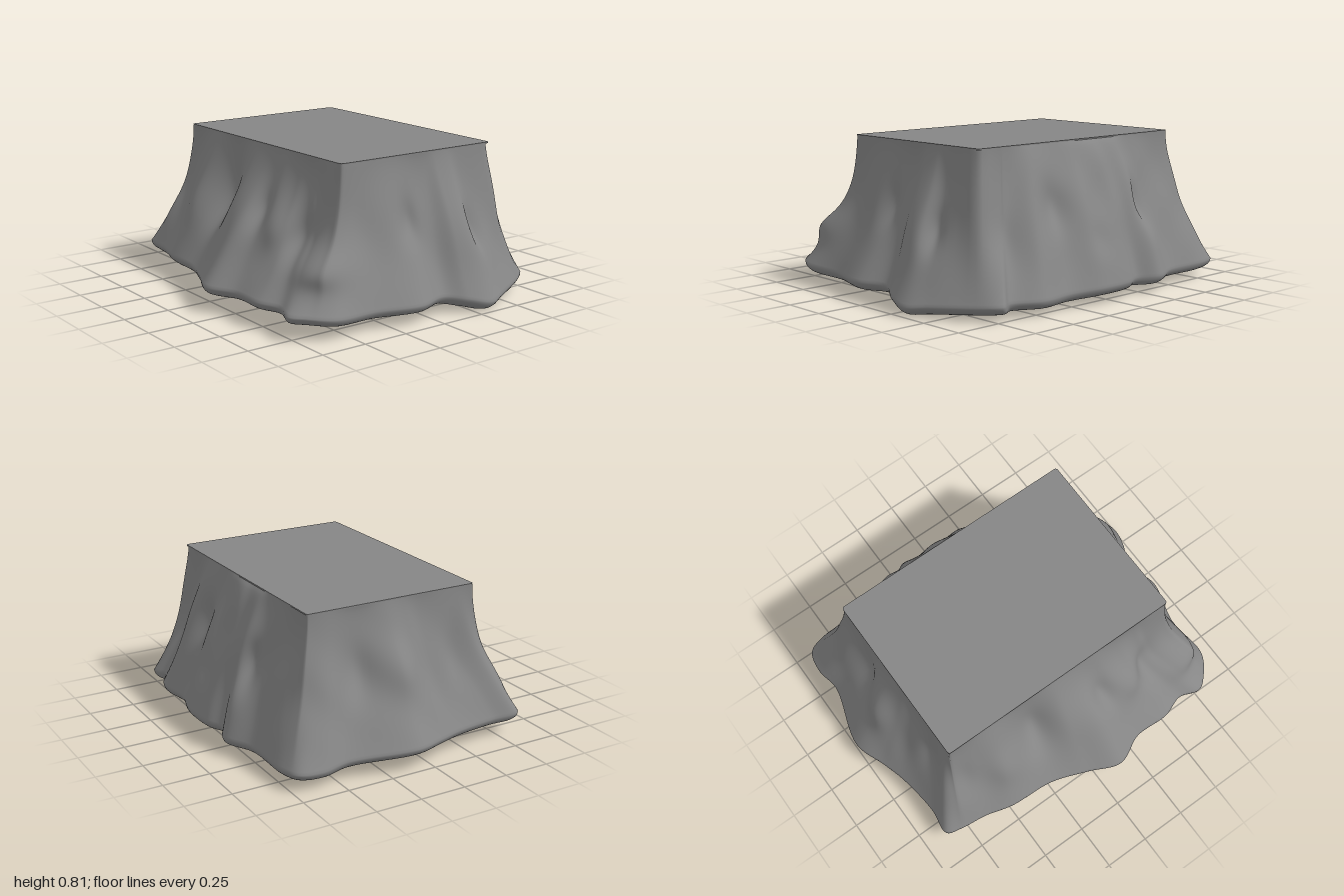
import * as THREE from 'three';

const HEIGHT = 0.81;
const TOP = { x: 0.069, hx: 0.487, hz: 0.697 };
const LIP = 0.05;

// Foot of the rock, clockwise from above: x, y, z, flare (above 1 the wall is steep first and spreads low down)
const FOOT = [
  [-0.6, 0.07, -0.88, 1.5], [-0.45, 0.06, -0.87, 1.6], [-0.22, 0.06, -0.9, 1.6], [-0.08, 0.06, -0.94, 1.4],
  [0.1, 0.07, -1, 1.3], [0.45, 0.05, -0.91, 1.5], [0.6, 0.04, -0.93, 1.5], [0.72, 0.04, -0.9, 1.6],
  [0.76, 0.04, -0.8, 1.5], [0.77, 0.04, -0.5, 1], [0.84, 0.04, -0.33, 0.8], [0.79, 0.04, -0.2, 0.8],
  [0.83, 0.04, -0.1, 0.75], [0.84, 0.04, 0.1, 0.85], [0.79, 0.03, 0.3, 1.1], [0.81, 0.03, 0.5, 1],
  [0.74, 0.03, 0.66, 1.4], [0.77, 0.03, 0.74, 1.7], [0.45, 0.01, 0.94, 1.4], [0.33, 0.0, 0.99, 1.2],
  [0.2, 0.03, 0.96, 1.25], [0.08, 0.05, 0.9, 1.5], [-0.1, 0.05, 0.95, 1.5], [-0.35, 0.05, 0.89, 1.5],
  [-0.6, 0.06, 0.9, 1.9], [-0.72, 0.07, 0.82, 2.2], [-0.77, 0.07, 0.75, 2.2], [-0.74, 0.08, 0.63, 1.8],
  [-0.78, 0.08, 0.5, 1.6], [-0.78, 0.08, 0.3, 1.2], [-0.85, 0.08, 0.13, 1.2], [-0.78, 0.08, -0.05, 1.2],
  [-0.71, 0.08, -0.25, 1.5], [-0.69, 0.08, -0.5, 1.2], [-0.65, 0.08, -0.65, 1.4], [-0.63, 0.08, -0.8, 1.5],
];

// Hollows (negative) and swellings (positive): x, y, z, width, height, depth
const RELIEF = [
  // front
  [-0.05, 0.48, 0.78, 0.06, 0.18, -0.04], [0.36, 0.45, 0.82, 0.05, 0.22, -0.05],
  [0.2, 0.35, 0.86, 0.1, 0.25, 0.02], [-0.64, 0.31, 0.77, 0.16, 0.09, 0.12],
  // right flank
  [0.66, 0.5, 0.27, 0.08, 0.14, -0.04], [0.7, 0.4, -0.33, 0.06, 0.22, -0.05],
  [0.74, 0.28, 0.04, 0.07, 0.1, -0.03], [0.66, 0.4, 0.62, 0.07, 0.25, -0.03],
  // left flank
  [-0.53, 0.45, -0.22, 0.09, 0.25, -0.05], [-0.55, 0.38, 0.52, 0.08, 0.25, -0.05],
  [-0.56, 0.42, 0.2, 0.06, 0.22, -0.04], [-0.55, 0.4, 0.36, 0.08, 0.2, 0.03],
  [-0.52, 0.45, -0.68, 0.08, 0.22, -0.03], [-0.55, 0.4, -0.45, 0.1, 0.2, 0.03],
  // back
  [-0.3, 0.45, -0.76, 0.08, 0.22, -0.03], [0.3, 0.45, -0.78, 0.08, 0.22, -0.03],
  [0.08, 0.48, -0.8, 0.1, 0.2, 0.04],
];

// Soft rolling noise
const noise = (x, y, z) =>
  Math.sin(9 * x + 3 * y + 2 * Math.sin(5 * z)) * Math.cos(8 * z - 4 * y + Math.sin(7 * x)) +
  0.45 * Math.sin(19 * x - 9 * y + 1) * Math.sin(17 * z + 7 * y);

function createRockGeometry() {
  const N = 360, WALL = 56, UNDER = 24, ROUND = 8;
  const { lerp, smoothstep } = THREE.MathUtils;
  const foot = new THREE.CatmullRomCurve3(FOOT.map(([x, y, z]) => new THREE.Vector3(x, y, z)), true);
  const columns = [], positions = [], index = [];
  for (let i = 0; i < N; i++) {
    const b = foot.getPoint(i / N);
    const k = i / N * FOOT.length, k0 = Math.floor(k);
    const flare = lerp(FOOT[k0][3], FOOT[(k0 + 1) % FOOT.length][3], smoothstep(k - k0, 0, 1));
    // matching point on the rectangular upper edge
    const dx = (b.x - 0.02) / 0.73, dz = b.z / 0.88;
    const m = Math.max(Math.abs(dx), Math.abs(dz));
    const tx = TOP.x + dx / m * (TOP.hx - 0.003), tz = dz / m * (TOP.hz - 0.003);
    columns.push({ b, tx, tz, flare, out: new THREE.Vector2(b.x - tx, b.z - tz).normalize() });
  }

  // Walls, flaring from the upper edge to the foot
  for (let j = 0; j <= WALL; j++) {
    const t = j / WALL;
    const fade = Math.sin(Math.PI * Math.pow(t, 0.8));
    for (const { b, tx, tz, flare, out } of columns) {
      const f = Math.pow(t, flare);
      const x = lerp(tx, b.x, f), z = lerp(tz, b.z, f);
      const y = lerp(HEIGHT - 0.006, b.y + LIP, t);
      let push = 0.015 * noise(x, y * 0.6, z);
      for (const [px, py, pz, w, h, d] of RELIEF) {
        push += d * Math.exp(-((x - px) ** 2 + (z - pz) ** 2) / (w * w) - ((y - py) / h) ** 2);
      }
      positions.push(x + out.x * push * fade, y, z + out.y * push * fade);
    }
  }

  // Rounded lip and hollow underside
  for (let j = 1; j <= UNDER; j++) {
    const a = Math.min(j / ROUND, 1) * Math.PI / 2;
    const s = Math.max(0, (j - ROUND) / (UNDER - ROUND));
    for (const { b } of columns) {
      const k = (1 - 0.07 * (1 - Math.cos(a))) * (1 - s);
      const x = b.x * k, z = b.z * k;
      const rim = b.y + LIP * (1 - Math.sin(a));
      const y = lerp(rim, 0.14, smoothstep(s, 0, 0.35)) + 0.015 * noise(x, 0, z) * Math.sin(Math.PI * s);
      positions.push(x, y, z);
    }
  }

  for (let j = 0; j < WALL + UNDER; j++) {
    for (let i = 0; i < N; i++) {
      const a = j * N + i, b = j * N + (i + 1) % N;
      index.push(a, b, a + N, b, b + N, a + N);
    }
  }
  const geometry = new THREE.BufferGeometry();
  geometry.setAttribute('position', new THREE.Float32BufferAttribute(positions, 3));
  geometry.setIndex(index);
  geometry.computeVertexNormals();
  return geometry;
}

// Flat top plate with slightly rounded corners
function createTopGeometry() {
  const { hx, hz } = TOP, r = 0.015;
  const shape = new THREE.Shape();
  shape.absarc(hx - r, hz - r, r, 0, Math.PI / 2);
  shape.absarc(-hx + r, hz - r, r, Math.PI / 2, Math.PI);
  shape.absarc(-hx + r, -hz + r, r, Math.PI, Math.PI * 1.5);
  shape.absarc(hx - r, -hz + r, r, Math.PI * 1.5, Math.PI * 2);
  const geometry = new THREE.ExtrudeGeometry(shape, { depth: 0.007, bevelEnabled: false });
  geometry.rotateX(-Math.PI / 2);
  geometry.translate(TOP.x, HEIGHT - 0.007, 0);
  return geometry;
}

export function createModel() {
  const group = new THREE.Group();
  group.name = 'rockPedestal';
  const material = new THREE.MeshStandardMaterial({ color: 0x868686 });
  const add = (name, geometry) => {
    const mesh = new THREE.Mesh(geometry, material);
    mesh.name = name;
    group.add(mesh);
  };
  add('rockBody', createRockGeometry());
  add('flatTop', createTopGeometry());
  return group;
}
